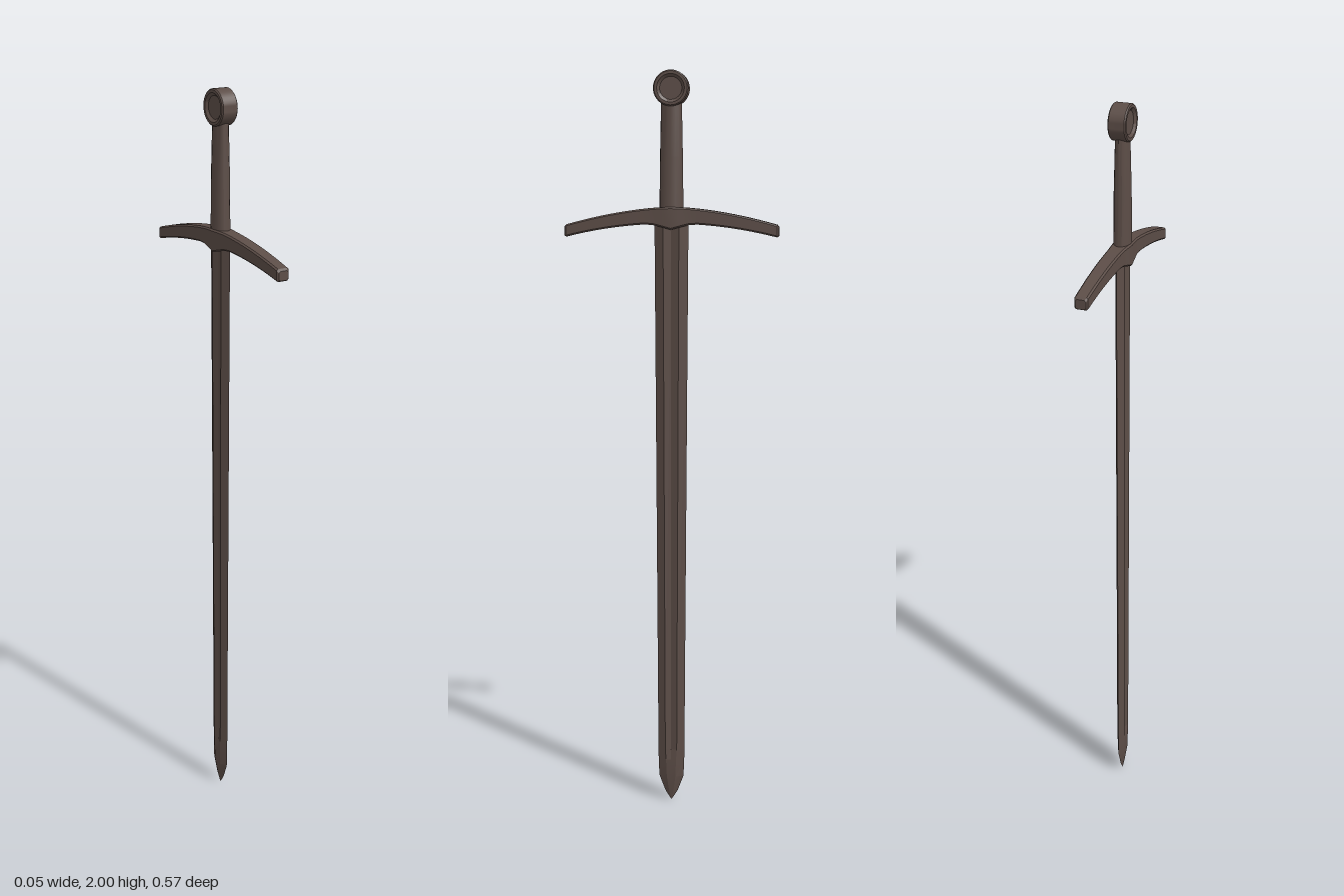
import * as THREE from 'three';
import { toCreasedNormals } from 'three/addons/utils/BufferGeometryUtils.js';

// Skin a series of equal-length rings (counter-clockwise about the travel direction) and cap both ends
function loft(rings, creaseAngle) {
  const n = rings[0].length;
  const pos = [];
  const tri = (a, b, c) => pos.push(...a, ...b, ...c);
  for (let i = 0; i < rings.length - 1; i++) {
    for (let j = 0; j < n; j++) {
      const k = (j + 1) % n;
      const a = rings[i][j], b = rings[i][k], c = rings[i + 1][k], d = rings[i + 1][j];
      tri(a, b, c);
      tri(a, c, d);
    }
  }
  const cap = (ring, flip) => {
    const mid = [0, 1, 2].map((e) => ring.reduce((s, p) => s + p[e], 0) / n);
    for (let j = 0; j < n; j++) {
      const a = ring[j], b = ring[(j + 1) % n];
      flip ? tri(mid, b, a) : tri(mid, a, b);
    }
  };
  cap(rings[0], true);
  cap(rings[rings.length - 1], false);
  const g = new THREE.BufferGeometry();
  g.setAttribute('position', new THREE.Float32BufferAttribute(pos, 3));
  return toCreasedNormals(g, creaseAngle);
}

// Rectangle with cut corners
function chamfered(w, h, c) {
  return [[w, -h + c], [w, h - c], [w - c, h], [-w + c, h], [-w, h - c], [-w, -h + c], [-w + c, -h], [w - c, -h]];
}

export function createModel() {
  const group = new THREE.Group();
  const darkSteel = new THREE.MeshStandardMaterial({ color: 0x5c4d47 });
  darkSteel.name = 'darkSteel';
  const add = (name, geometry) => {
    const mesh = new THREE.Mesh(geometry, darkSteel);
    mesh.name = name;
    group.add(mesh);
    return mesh;
  };

  // Blade: height, half width, fuller half width, ridge thickness, fuller floor thickness
  const stations = [
    [0, 0.001, 0.0004, 0.0004, 0.0004],
    [0.025, 0.017, 0.006, 0.004, 0.004],
    [0.07, 0.034, 0.012, 0.010, 0.010],
    [0.12, 0.036, 0.014, 0.011, 0.011],
    [0.15, 0.0365, 0.016, 0.011, 0.006],
    [1.62, 0.045, 0.021, 0.012, 0.006],
  ];
  const bladeRings = stations.map(([y, w, f, t, d]) => [
    [d, 0], [t, f], [0, w], [-t, f], [-d, 0], [-t, -f], [0, -w], [t, -f],
  ].map(([x, s]) => [x, y, -s]));
  add('blade', loft(bladeRings, 0.15));

  // Crossguard: an arc drooping towards both ends, with bevelled tips
  const guardRings = [];
  const steps = 24;
  const half = 0.284;
  const guardRing = (z, inset) => {
    const u = Math.abs(z) / half;
    const top = 1.65 - 0.047 * u ** 1.7;
    const bottom = 1.607 - 0.036 * u ** 2 - 0.016 * Math.max(0, 1 - u / 0.2);
    const w = 0.0175 + 0.004 * (1 - u) + 0.004 * Math.max(0, 1 - u / 0.18) - inset;
    const mid = (top + bottom) / 2;
    return chamfered(w, (top - bottom) / 2 - inset, 0.004).map(([x, y]) => [x, mid + y, z]);
  };
  guardRings.push(guardRing(-half, 0.004));
  for (let i = 0; i <= steps; i++) guardRings.push(guardRing((i / steps * 2 - 1) * (half - 0.005), 0));
  guardRings.push(guardRing(half, 0.004));
  add('crossguard', loft(guardRings, 0.4));

  // Grip: oval section, slightly fuller in its lower half
  const gripRings = [[1.62, 0.022, 0.032], [1.78, 0.021, 0.030], [1.93, 0.017, 0.027]].map(([y, a, b]) =>
    Array.from({ length: 16 }, (_, j) => {
      const t = j / 16 * Math.PI * 2;
      return [a * Math.cos(t), y, -b * Math.sin(t)];
    }));
  add('grip', loft(gripRings, 0.6));

  // Wheel pommel with dished faces, its axis across the blade
  const profile = [
    [0, -0.017], [0.029, -0.017], [0.036, -0.023], [0.043, -0.023], [0.046, -0.020],
    [0.046, 0.020], [0.043, 0.023], [0.036, 0.023], [0.029, 0.017], [0, 0.017],
  ].map(([r, y]) => new THREE.Vector2(r, y));
  const pommel = add('pommel', toCreasedNormals(new THREE.LatheGeometry(profile, 40), 0.5));
  pommel.rotation.z = Math.PI / 2;
  pommel.position.y = 1.954;

  return group;
}
